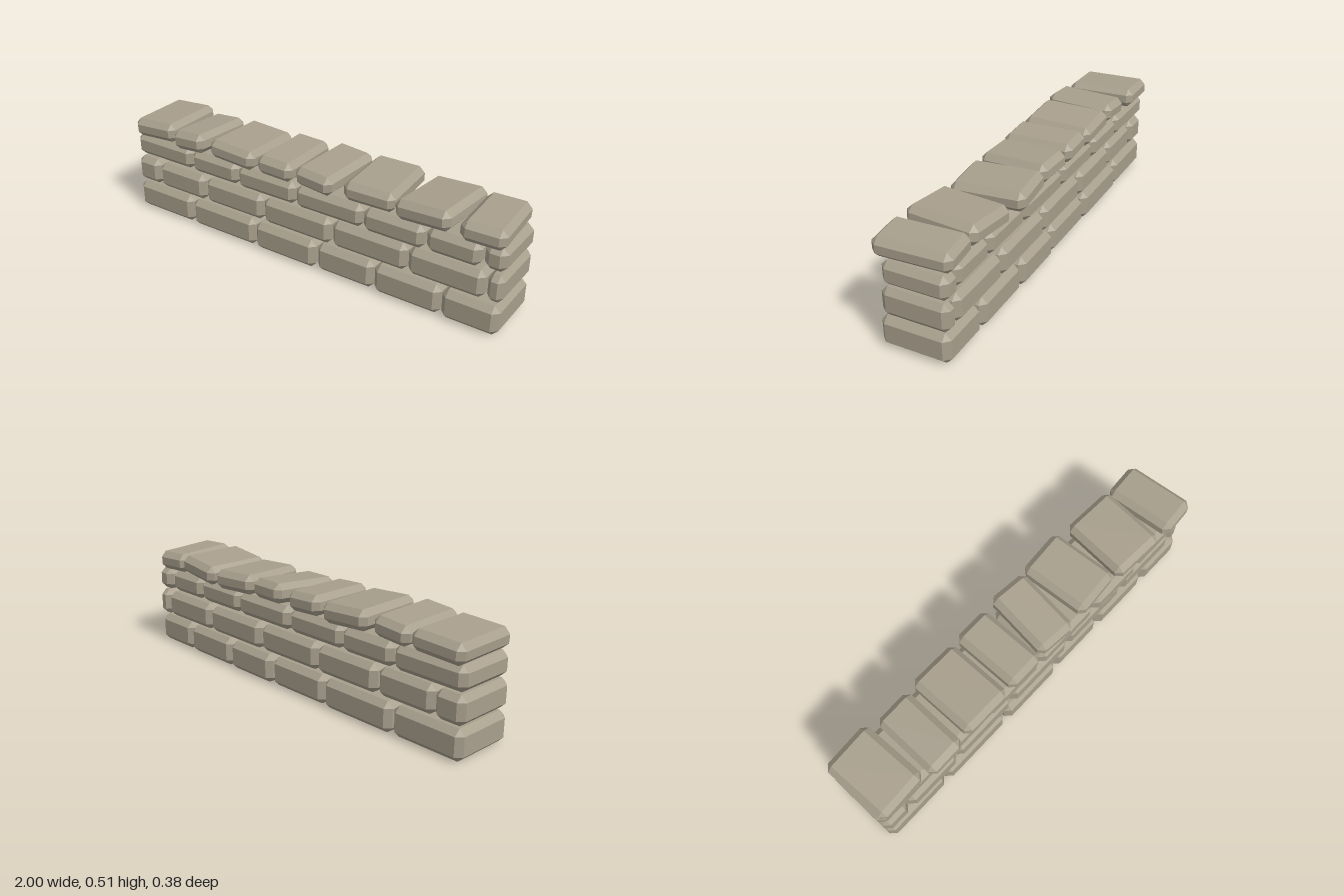
import * as THREE from 'three';

// Chamfered block centred on the origin, lofted through four horizontal rings.
function blockGeometry(w, h, d, bevel, openBottom) {
  const bx = Math.min(bevel, w * 0.3), by = Math.min(bevel, h * 0.3), bz = bevel;
  const X = w / 2, Y = h / 2, Z = d / 2, x = X - bx, z = Z - bz;
  const octagon = [[x, Z], [X, z], [X, -z], [x, -Z], [-x, -Z], [-X, -z], [-X, z], [-x, Z]];
  const inner = octagon.map(([px, pz]) => [Math.sign(px) * x, Math.sign(pz) * z]);
  const rings = [[inner, -Y], [octagon, -Y + by], [octagon, Y - by], [inner, Y]]
    .map(([ring, y]) => ring.map(([px, pz]) => new THREE.Vector3(px, y, pz)));

  const out = [];
  const tri = (a, b, c) => {
    if (a.equals(b) || b.equals(c) || a.equals(c)) return;
    out.push(...a.toArray(), ...b.toArray(), ...c.toArray());
  };
  for (let r = 0; r < 3; r++) {
    for (let i = 0; i < 8; i++) {
      const j = (i + 1) % 8, lo = rings[r], hi = rings[r + 1];
      tri(lo[i], lo[j], hi[j]);
      tri(lo[i], hi[j], hi[i]);
    }
  }
  const [t, b] = [rings[3], rings[0]];
  tri(t[0], t[2], t[4]);
  tri(t[0], t[4], t[6]);
  if (!openBottom) {
    tri(b[0], b[4], b[2]);
    tri(b[0], b[6], b[4]);
  }
  const geo = new THREE.BufferGeometry();
  geo.setAttribute('position', new THREE.Float32BufferAttribute(out, 3));
  geo.computeVertexNormals();
  return geo;
}

// Straight courses: bottom, top, joint positions along x, [back, front] per stone
const COURSES = [
  { name: 'bottomCourse', y0: 0, y1: 0.14, open: true,
    joints: [-1, -0.643, -0.247, 0.103, 0.408, 0.738, 1],
    depths: [[-0.16, 0.152], [-0.165, 0.155], [-0.158, 0.16], [-0.165, 0.152], [-0.16, 0.157], [-0.155, 0.16]] },
  { name: 'secondCourse', y0: 0.15, y1: 0.28,
    joints: [-1, -0.853, -0.553, -0.198, 0.183, 0.568, 0.926, 1],
    depths: [[-0.16, 0.15], [-0.155, 0.153], [-0.16, 0.15], [-0.157, 0.153], [-0.16, 0.15], [-0.16, 0.153], [-0.16, 0.145]] },
  { name: 'thirdCourse', y0: 0.29, y1: 0.4,
    joints: [-1, -0.638, -0.348, -0.012, 0.348, 0.648, 0.898, 1],
    depths: [[-0.16, 0.14], [-0.16, 0.145], [-0.155, 0.15], [-0.155, 0.155], [-0.15, 0.162], [-0.15, 0.155], [-0.16, 0.137]] },
];

// Loose coping stones: centre x, centre z, width, pitch, yaw, roll (degrees)
const CAPS = [
  [-0.868, -0.015, 0.25, 0.5, 2, 3],
  [-0.622, 0.008, 0.19, -2, -0.5, 4.5],
  [-0.368, -0.002, 0.255, -1, 0.5, -3.5],
  [-0.123, -0.005, 0.19, 0.5, 1, -2.5],
  [0.1, -0.01, 0.202, 3, -5, -2],
  [0.355, -0.02, 0.245, 1, 4.5, -2],
  [0.642, 0, 0.265, -1, -4, 4.5],
  [0.892, 0.008, 0.195, -1.5, 4.5, -1.5],
];

export function createModel() {
  const wall = new THREE.Group();
  wall.name = 'stoneWall';
  const stone = new THREE.MeshStandardMaterial({ color: 0xa89f8d, flatShading: true, side: THREE.DoubleSide });
  stone.name = 'stone';

  // Laid courses
  for (const { name, y0, y1, open, joints, depths } of COURSES) {
    const course = new THREE.Group();
    course.name = name;
    depths.forEach(([back, front], i) => {
      const left = joints[i] + (i ? 0.003 : 0);
      const right = joints[i + 1] - (i < depths.length - 1 ? 0.003 : 0);
      const mesh = new THREE.Mesh(blockGeometry(right - left, y1 - y0, front - back, 0.027, open), stone);
      mesh.name = 'block';
      mesh.position.set((left + right) / 2, (y0 + y1) / 2, (back + front) / 2);
      course.add(mesh);
    });
    wall.add(course);
  }

  // Coping
  const coping = new THREE.Group();
  coping.name = 'coping';
  for (const [x, z, w, pitch, yaw, roll] of CAPS) {
    const mesh = new THREE.Mesh(blockGeometry(w, 0.092, 0.34, 0.027, false), stone);
    mesh.name = 'copingStone';
    mesh.position.set(x, 0.449, z);
    mesh.rotation.set(...[pitch, yaw, roll].map(THREE.MathUtils.degToRad));
    coping.add(mesh);
  }
  wall.add(coping);
  return wall;
}
